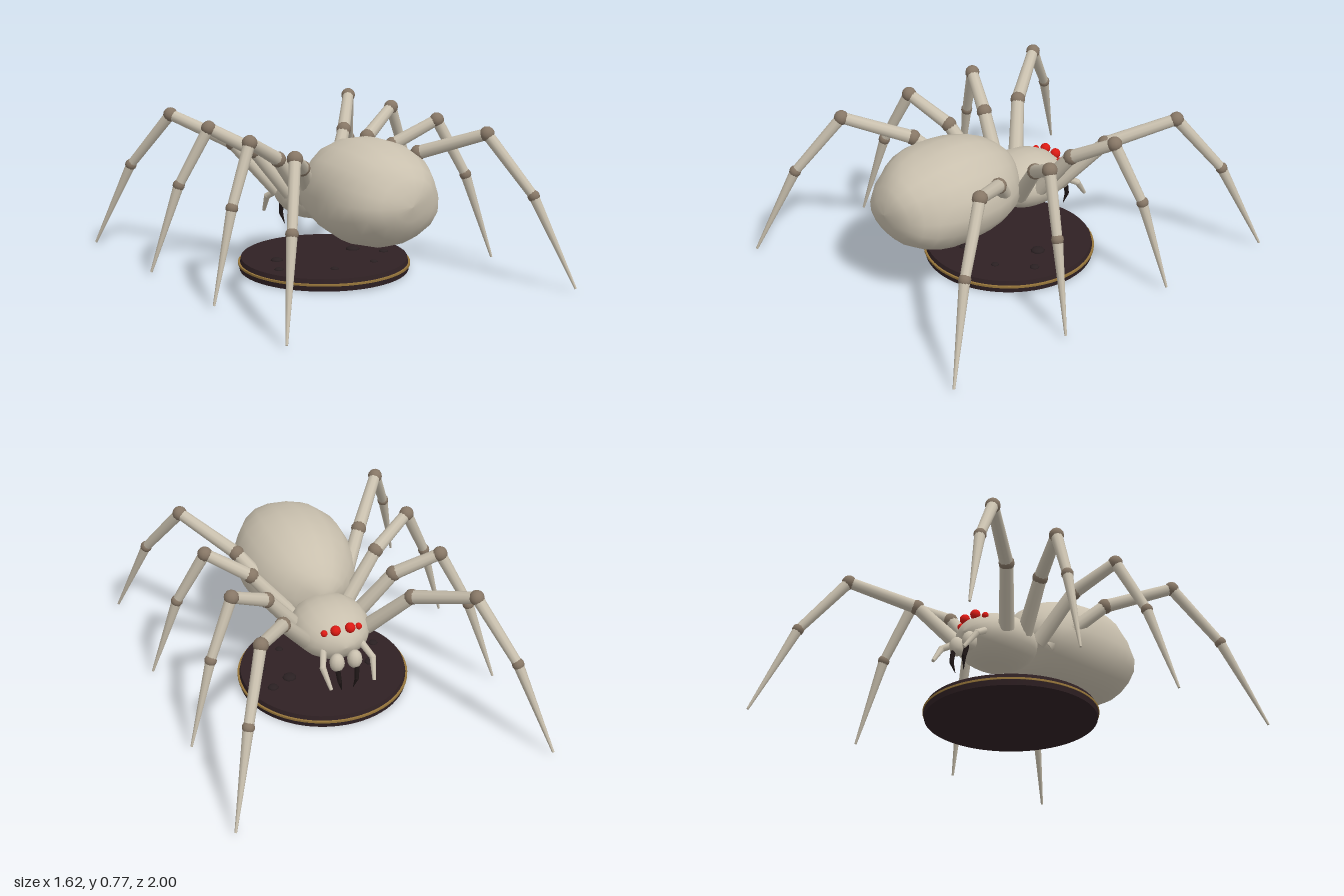
import * as THREE from 'three';

const mat = (name, color) => {
  const m = new THREE.MeshStandardMaterial({ color });
  m.name = name;
  return m;
};

export function createModel() {
  const shell = mat('pale shell', 0xc9c0ae);
  const jointMat = mat('joint brown', 0x877766);
  const eyeMat = mat('eye red', 0xdc1a14);
  const fangMat = mat('fang black', 0x1e1616);
  const woodMat = mat('dark base', 0x302124);
  const trimMat = mat('gold trim', 0x96753a);
  const stoneMat = mat('dark stone', 0x2a2022);

  const model = new THREE.Group();
  model.name = 'spider';
  const V = (x, y, z) => new THREE.Vector3(x, y, z);

  const add = (parent, name, geo, material, pos) => {
    const mesh = new THREE.Mesh(geo, material);
    mesh.name = name;
    if (pos) mesh.position.copy(pos);
    parent.add(mesh);
    return mesh;
  };
  const ball = (parent, name, r, material, pos, w = 12, h = 8) =>
    add(parent, name, new THREE.SphereGeometry(r, w, h), material, pos);
  // Tapered rod between two points
  const rod = (parent, name, a, b, ra, rb, material, sides = 10) => {
    const dir = b.clone().sub(a);
    const mesh = add(parent, name, new THREE.CylinderGeometry(rb, ra, dir.length(), sides), material,
      a.clone().add(b).multiplyScalar(0.5));
    mesh.quaternion.setFromUnitVectors(V(0, 1, 0), dir.normalize());
    return mesh;
  };

  // Ellipsoid lying along z, with gentle lumps; blunt > 2 squares off its +z end
  const lumpy = (rx, ry, rz, w, h, amount, blunt) => {
    const geo = new THREE.SphereGeometry(1, w, h).rotateX(Math.PI / 2);
    const p = geo.attributes.position;
    for (let i = 0; i < p.count; i++) {
      const x = p.getX(i), y = p.getY(i), z = p.getZ(i);
      const round = Math.hypot(x, y);
      const wide = z > 0 && round > 0.001 ? Math.pow(Math.max(0, 1 - z ** blunt), 1 / blunt) / round : 1;
      const k = 1 + amount * (Math.sin(3 * z - 5 * x) * Math.cos(4 * y - 2 * z) + 0.5 * Math.sin(7 * y - 4 * x));
      p.setXYZ(i, x * rx * wide * k, y * ry * wide * k, z * rz * k);
    }
    geo.computeVertexNormals();
    // Share normals across the seam
    const n = geo.attributes.normal;
    for (let row = 0; row <= h; row++) {
      const a = row * (w + 1), b = a + w;
      const s = V(n.getX(a) + n.getX(b), n.getY(a) + n.getY(b), n.getZ(a) + n.getZ(b)).normalize();
      n.setXYZ(a, s.x, s.y, s.z);
      n.setXYZ(b, s.x, s.y, s.z);
    }
    return geo;
  };

  // Body
  add(model, 'abdomen', lumpy(0.295, 0.256, 0.386, 18, 14, 0.022, 2.3), shell, V(0.004, 0.473, 0.386));
  add(model, 'cephalothorax', lumpy(0.195, 0.138, 0.215, 18, 12, 0.01, 2), shell, V(0, 0.378, -0.1));

  for (const s of [1, -1]) {
    const side = s > 0 ? 'left' : 'right';

    // Eyes
    ball(model, side + 'InnerEye', 0.026, eyeMat, V(s * 0.038, 0.466, -0.275));
    ball(model, side + 'OuterEye', 0.017, eyeMat, V(s * 0.09, 0.45, -0.256));

    // Jaws and fangs
    const jaw = ball(model, side + 'Jaw', 0.038, shell, V(s * 0.046, 0.308, -0.318));
    jaw.scale.set(1, 1.3, 1);
    const fang = new THREE.Group();
    fang.name = side + 'Fang';
    model.add(fang);
    const f = [V(s * 0.05, 0.275, -0.338), V(s * 0.045, 0.215, -0.352), V(s * 0.03, 0.155, -0.34)];
    rod(fang, 'fangBase', f[0], f[1], 0.013, 0.011, fangMat, 8);
    rod(fang, 'fangTip', f[1], f[2], 0.011, 0.001, fangMat, 8);

    // Feelers beside the jaws
    const palp = new THREE.Group();
    palp.name = side + 'Feeler';
    model.add(palp);
    const q = [V(s * 0.1, 0.36, -0.27), V(s * 0.13, 0.315, -0.345), V(s * 0.112, 0.225, -0.412)];
    rod(palp, 'feelerBase', q[0], q[1], 0.018, 0.016, shell, 8);
    ball(palp, 'feelerJoint', 0.017, shell, q[1], 8, 6);
    rod(palp, 'feelerTip', q[1], q[2], 0.016, 0.009, shell, 8);

    // Legs: root, then z of the hip joint, knee, ankle and tip
    const legs = [
      ['front', V(0.16, 0.38, -0.18), [-0.34, -0.62, -0.82, -0.995]],
      ['midFront', V(0.16, 0.39, -0.06), [-0.115, -0.205, -0.272, -0.33]],
      ['midBack', V(0.14, 0.38, 0.05), [0.115, 0.205, 0.272, 0.33]],
      ['back', V(0.14, 0.38, 0.12), [0.34, 0.62, 0.82, 0.995]],
    ];
    const xs = [0.33, 0.535, 0.67, 0.802], ys = [0.615, 0.735, 0.452, 0.015];
    const radii = [[0.039, 0.033], [0.034, 0.029], [0.029, 0.024], [0.026, 0.006]];
    const knobs = [0.039, 0.037, 0.03];
    const names = ['coxa', 'thigh', 'shin', 'foot'];
    for (const [label, root, zs] of legs) {
      const leg = new THREE.Group();
      leg.name = `${label}Leg_${side}`;
      model.add(leg);
      const pts = [root, ...zs.map((z, i) => V(xs[i], ys[i], z))];
      pts.forEach((p) => { p.x *= s; });
      names.forEach((n, i) => {
        rod(leg, n, pts[i], pts[i + 1], radii[i][0], radii[i][1], shell);
        if (i < 3) ball(leg, n + 'Joint', knobs[i], jointMat, pts[i + 1]);
      });
    }
  }

  // Round display base with a gold band
  const disc = (name, r0, r1, y0, y1, m) =>
    add(model, name, new THREE.CylinderGeometry(r1, r0, y1 - y0, 64), m, V(0, (y0 + y1) / 2, 0));
  disc('baseFoot', 0.425, 0.43, 0, 0.027, woodMat);
  disc('baseTrim', 0.433, 0.433, 0.027, 0.037, trimMat);
  disc('baseUpper', 0.423, 0.418, 0.037, 0.06, woodMat);

  // Stones: x, z, radius
  const stones = [
    [0.19, -0.03, 0.036], [0.295, -0.08, 0.028], [0.3, 0.087, 0.024], [0.155, 0.22, 0.02],
    [-0.32, 0.1, 0.024], [-0.245, -0.05, 0.032], [-0.08, 0.23, 0.022],
  ];
  stones.forEach(([x, z, r], i) => {
    const stone = ball(model, 'stone' + (i + 1), r, stoneMat, V(x, 0.06, z), 9, 6);
    stone.scale.y = 0.45;
    stone.rotation.y = i * 1.3;
  });

  return model;
}
